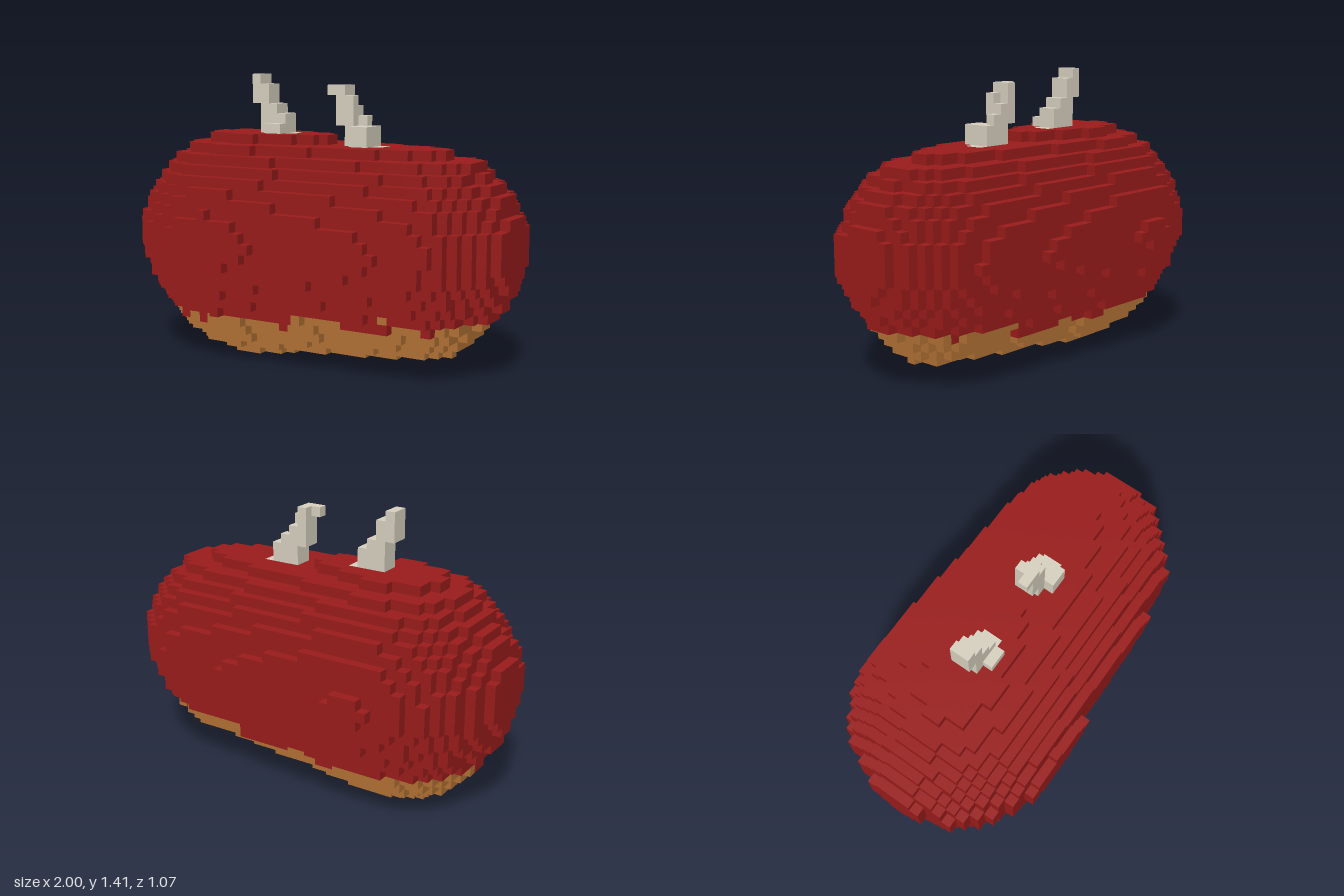
import * as THREE from 'three';

const S = 2 / 41; // voxel size
const MID_ROW = 12;

// Column index, then radii in voxels: up, down, front, back
const SECTIONS = [
  [-20, 3.4, 3.4, 3.3, 3.2], [-19, 5.4, 5.4, 5.8, 5.2], [-18, 6.4, 6.4, 7, 7],
  [-17, 7.4, 8.3, 8, 8], [-16, 8.3, 9.3, 8.7, 8.7], [-15, 9.2, 10.2, 9.4, 9.3],
  [-14, 9.75, 11.2, 9.9, 9.8], [-12, 10.4, 12.1, 10.6, 10.4], [-10, 10.55, 12.5, 10.8, 10.68],
  [-8, 10.7, 12.8, 11.02, 10.55], [-3, 10.3, 11.95, 10.5, 10.3], [0, 10.05, 11.8, 10.3, 10],
  [8, 9.6, 11.05, 9.75, 9.35], [13, 9.1, 10.6, 9.15, 8.85], [15, 8.6, 9.5, 8.6, 8.2],
  [16, 8.2, 8.5, 8, 7.8], [17, 7.1, 7.3, 7, 6.8], [18, 6.3, 6.4, 6, 5.9],
  [19, 5.3, 5.3, 5.2, 5], [20, 3.7, 3.7, 4.2, 3.2],
];

function radiiAt(i) {
  const n = SECTIONS.findIndex((s) => s[0] >= i);
  const b = SECTIONS[n], a = SECTIONS[Math.max(n - 1, 0)];
  const t = a === b ? 0 : (i - a[0]) / (b[0] - a[0]);
  return b.map((v, k) => a[k] + (v - a[k]) * t).slice(1);
}

// Round above the middle, slightly pinched below it
function insideBody([up, down, front, back], y, z) {
  const power = y >= 0 ? 2 : z > 0 ? 1.72 : 1.6;
  const dy = Math.abs(y) / (y > 0 ? up : down);
  const dz = Math.abs(z) / (z > 0 ? front : back);
  return dy ** power + dz ** power <= 1;
}

// Highest belly-coloured row, with a ragged edge
function bellyRow(i, k) {
  if (i > 14) return i === 17 && k >= 2 ? 4 : 5;
  if (i === 14) return 4;
  if (k < 0) {
    if (i > 6) return 5;
    return i < -5 || i === 0 || i === -1 ? 4 : 3;
  }
  if ([-18, -17, -13, -10, -1].includes(i)) return 3;
  return i < 1 || (i > 5 && i < 11) ? 4 : 5;
}

function isBelly(i, j, k) {
  return j <= bellyRow(i, k) || (i === 10 && j === 6 && k > 0);
}

// Horn columns: [column, first row, last row, first z, last z]
const HORNS = {
  rightHorn: [
    [-8, 26, 28, -1, 0], [-7, 22, 27, -1, 0], [-6, 22, 25, -1, 0], [-5, 22, 24, -1, 0],
    [-4, 22, 22, -1, 0], [-6, 22, 23, 1, 1], [-5, 22, 23, 1, 1],
  ],
  leftHorn: [
    [1, 27, 27, 0, 0], [2, 24, 27, -1, 0], [3, 21, 25, -1, -1], [3, 21, 26, 0, 0],
    [4, 21, 24, -1, -1], [4, 21, 23, 0, 1], [5, 21, 23, -1, 1], [6, 21, 21, -1, 0],
  ],
};

// Fill the voxel grid: key -> part name
function fillGrid() {
  const grid = new Map();
  for (let i = -20; i <= 20; i++) {
    const radii = radiiAt(i);
    for (let j = 0; j < 23; j++) {
      for (let k = -11; k < 11; k++) {
        if (!insideBody(radii, j - MID_ROW, k + 0.5)) continue;
        grid.set([i, j, k].join(), isBelly(i, j, k) ? 'belly' : 'body');
      }
    }
  }
  for (const [name, columns] of Object.entries(HORNS)) {
    for (const [i, j0, j1, k0, k1] of columns) {
      for (let j = j0; j <= j1; j++) for (let k = k0; k <= k1; k++) grid.set([i, j, k].join(), name);
    }
  }
  return grid;
}

// Exposed cube faces of one part
function voxelGeometry(grid, part) {
  const positions = [], normals = [], index = [];
  for (const [key, name] of grid) {
    if (name !== part) continue;
    const cell = key.split(',').map(Number);
    const centre = [cell[0], cell[1] + 0.5, cell[2] + 0.5];
    for (let axis = 0; axis < 3; axis++) {
      for (const side of [-1, 1]) {
        const next = cell.slice();
        next[axis] += side;
        if (grid.has(next.join())) continue;
        const u = (axis + 1) % 3, v = (axis + 2) % 3;
        const base = positions.length / 3;
        for (const [a, b] of [[-1, -1], [1, -1], [1, 1], [-1, 1]]) {
          const p = centre.slice(), n = [0, 0, 0];
          p[axis] += side / 2;
          p[u] += (a * side) / 2;
          p[v] += b / 2;
          n[axis] = side;
          positions.push(...p.map((c) => c * S));
          normals.push(...n);
        }
        index.push(base, base + 1, base + 2, base, base + 2, base + 3);
      }
    }
  }
  const geometry = new THREE.BufferGeometry();
  geometry.setAttribute('position', new THREE.Float32BufferAttribute(positions, 3));
  geometry.setAttribute('normal', new THREE.Float32BufferAttribute(normals, 3));
  geometry.setIndex(index);
  return geometry;
}

function material(name, color) {
  const m = new THREE.MeshStandardMaterial({ color });
  m.name = name;
  return m;
}

export function createModel() {
  const group = new THREE.Group();
  group.name = 'hornedBody';
  const horn = material('bone grey', 0xdad3c2);
  const parts = {
    body: material('dark red', 0x9b1c1b),
    belly: material('ochre', 0xb37234),
    rightHorn: horn,
    leftHorn: horn,
  };
  const grid = fillGrid();
  for (const [name, mat] of Object.entries(parts)) {
    const mesh = new THREE.Mesh(voxelGeometry(grid, name), mat);
    mesh.name = name;
    group.add(mesh);
  }
  return group;
}
